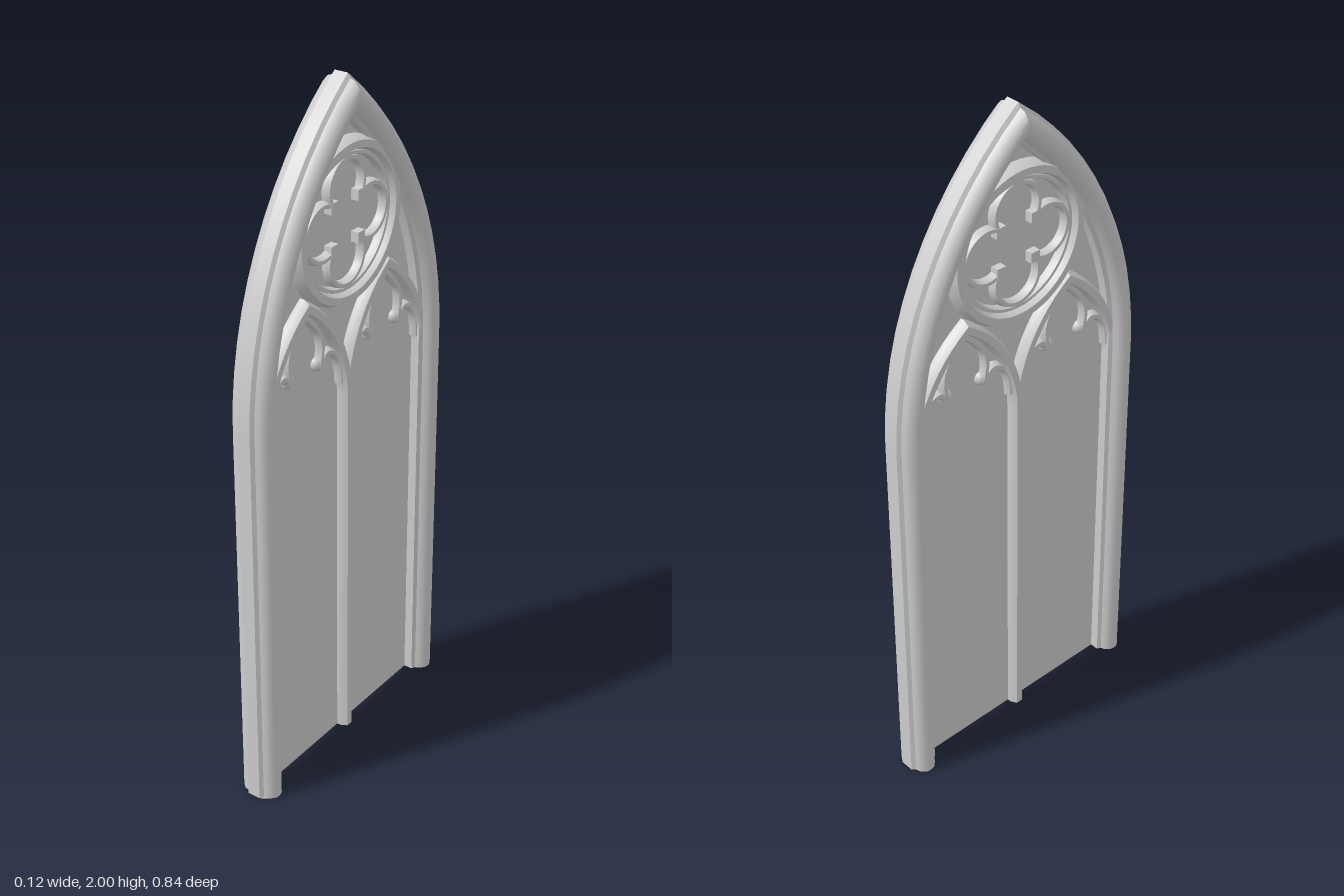
import * as THREE from 'three';
import { toCreasedNormals } from 'three/addons/utils/BufferGeometryUtils.js';

// The window lies in the z-y plane; 2D points below are [z, y] and depth runs along x.

// Sweep a closed [outward, depth] profile along a mitred path.
function sweep(path, profile, closed = false) {
  const n = path.length, m = profile.length, pos = [], idx = [];
  const dir = (a, b) => {
    const d = [b[0] - a[0], b[1] - a[1]], l = Math.hypot(d[0], d[1]);
    return [d[0] / l, d[1] / l];
  };
  for (let i = 0; i < n; i++) {
    const prev = closed || i > 0 ? path[(i + n - 1) % n] : null;
    const next = closed || i < n - 1 ? path[(i + 1) % n] : null;
    const a = prev ? dir(prev, path[i]) : dir(path[i], next);
    const b = next ? dir(path[i], next) : a;
    const k = 1 + a[0] * b[0] + a[1] * b[1];
    const nz = (a[1] + b[1]) / k, ny = -(a[0] + b[0]) / k;
    for (const [o, x] of profile) pos.push(x, path[i][1] + ny * o, path[i][0] + nz * o);
  }
  for (let i = 0; i < (closed ? n : n - 1); i++) {
    for (let j = 0; j < m; j++) {
      const a = i * m + j, b = i * m + (j + 1) % m;
      const c = ((i + 1) % n) * m + (j + 1) % m, d = ((i + 1) % n) * m + j;
      idx.push(a, b, c, a, c, d);
    }
  }
  if (!closed) {
    for (let j = 1; j < m - 1; j++) {
      const e = (n - 1) * m;
      idx.push(0, j + 1, j, e, e + j, e + j + 1);
    }
  }
  const g = new THREE.BufferGeometry();
  g.setAttribute('position', new THREE.Float32BufferAttribute(pos, 3));
  g.setIndex(idx);
  return toCreasedNormals(g, 0.6);
}

// Chamfered bar section: half-width w, half-depth d
const bar = (w, d) => [[w, -0.4 * d], [w, 0.4 * d], [0.5 * w, d], [-0.5 * w, d],
  [-w, 0.4 * d], [-w, -0.4 * d], [-0.5 * w, -d], [0.5 * w, -d]];

// Pointed arch standing on y = base
function archPath(centre, half, base, spring, apex, steps = 12) {
  const h = apex - spring, r = (half * half + h * h) / (2 * half);
  const end = Math.acos((r - half) / r), side = [[half, base]];
  for (let i = 0; i <= steps; i++) {
    const t = end * i / steps;
    side.push([half - r + r * Math.cos(t), spring + r * Math.sin(t)]);
  }
  side[side.length - 1][0] = 0;
  const other = side.slice(0, -1).reverse().map(([z, y]) => [-z, y]);
  return [...side, ...other].map(([z, y]) => [z + centre, y]);
}

function arcPath(cz, cy, r, from, to, steps) {
  return Array.from({ length: steps + 1 }, (_, i) => {
    const t = from + (to - from) * i / steps;
    return [cz + r * Math.cos(t), cy + r * Math.sin(t)];
  });
}

const smooth = (pts, steps = 14) => new THREE.SplineCurve(
  pts.map(([z, y]) => new THREE.Vector2(z, y))).getPoints(steps).map(p => [p.x, p.y]);

export function createModel() {
  const model = new THREE.Group();
  const stone = new THREE.MeshStandardMaterial({ color: 0xcccccc, side: THREE.DoubleSide });
  stone.name = 'pale stone';
  const add = (name, geometry) => {
    const mesh = new THREE.Mesh(geometry, stone);
    mesh.name = name;
    model.add(mesh);
    return mesh;
  };

  // Moulded outer frame
  const half = [[0, 0.02], [-0.01, 0.028], [-0.014, 0.042], [-0.027, 0.056], [-0.04, 0.059],
    [-0.056, 0.056], [-0.068, 0.045], [-0.074, 0.032], [-0.085, 0.026]];
  const frameProfile = [...half, ...half.slice().reverse().map(([o, x]) => [o, -x])];
  add('outerFrame', sweep(archPath(0, 0.42, 0, 1.15, 2), frameProfile));

  // Thin infill panel
  const outline = archPath(0, 0.36, 0, 1.15, 1.92).map(([z, y]) => new THREE.Vector2(-z, y));
  add('panel', new THREE.ShapeGeometry(new THREE.Shape(outline)).rotateY(Math.PI / 2));

  // Centre mullion and the two lancet arches
  add('mullion', sweep([[0, 0], [0, 1.16]], bar(0.02, 0.03)));
  for (const s of [-1, 1]) {
    add('lancetArch', sweep(archPath(s * 0.178, 0.178, 1.0, 1.1, 1.43), bar(0.019, 0.03)));
    // Cusped trefoil inside each lancet
    for (const k of [-1, 1]) {
      const place = pts => smooth(pts.map(([z, y]) => [s * 0.178 + k * z, y]));
      add('lowerFoil', sweep(place([[0.158, 1.15], [0.15, 1.21], [0.125, 1.252],
        [0.09, 1.265], [0.068, 1.24]]), bar(0.011, 0.02)));
      add('upperFoil', sweep(place([[0.062, 1.235], [0.072, 1.28], [0.066, 1.325],
        [0.04, 1.365], [0, 1.405]]), bar(0.011, 0.02)));
      const bulb = add('cuspBulb', new THREE.SphereGeometry(0.021, 12, 8));
      bulb.position.set(0, 1.242, s * 0.178 + k * 0.062);
    }
  }

  // Ring with an inner bead
  const circle = r => arcPath(0, 1.605, r, 0, -Math.PI * 2, 56).slice(0, -1);
  add('ring', sweep(circle(0.207), bar(0.02, 0.036), true));
  add('ringBead', sweep(circle(0.183), bar(0.009, 0.022), true));

  // Quatrefoil lobes and cusps
  for (let i = 0; i < 4; i++) {
    const a = i * Math.PI / 2, q = a + Math.PI / 4;
    add('quatrefoilLobe', sweep(arcPath(0.1 * Math.cos(a), 1.605 + 0.1 * Math.sin(a), 0.074,
      a - 2.25, a + 2.25, 24), bar(0.01, 0.022)));
    const cusp = add('quatrefoilCusp', new THREE.BoxGeometry(0.046, 0.03, 0.03));
    cusp.position.set(0, 1.605 + 0.083 * Math.sin(q), 0.083 * Math.cos(q));
  }
  return model;
}
